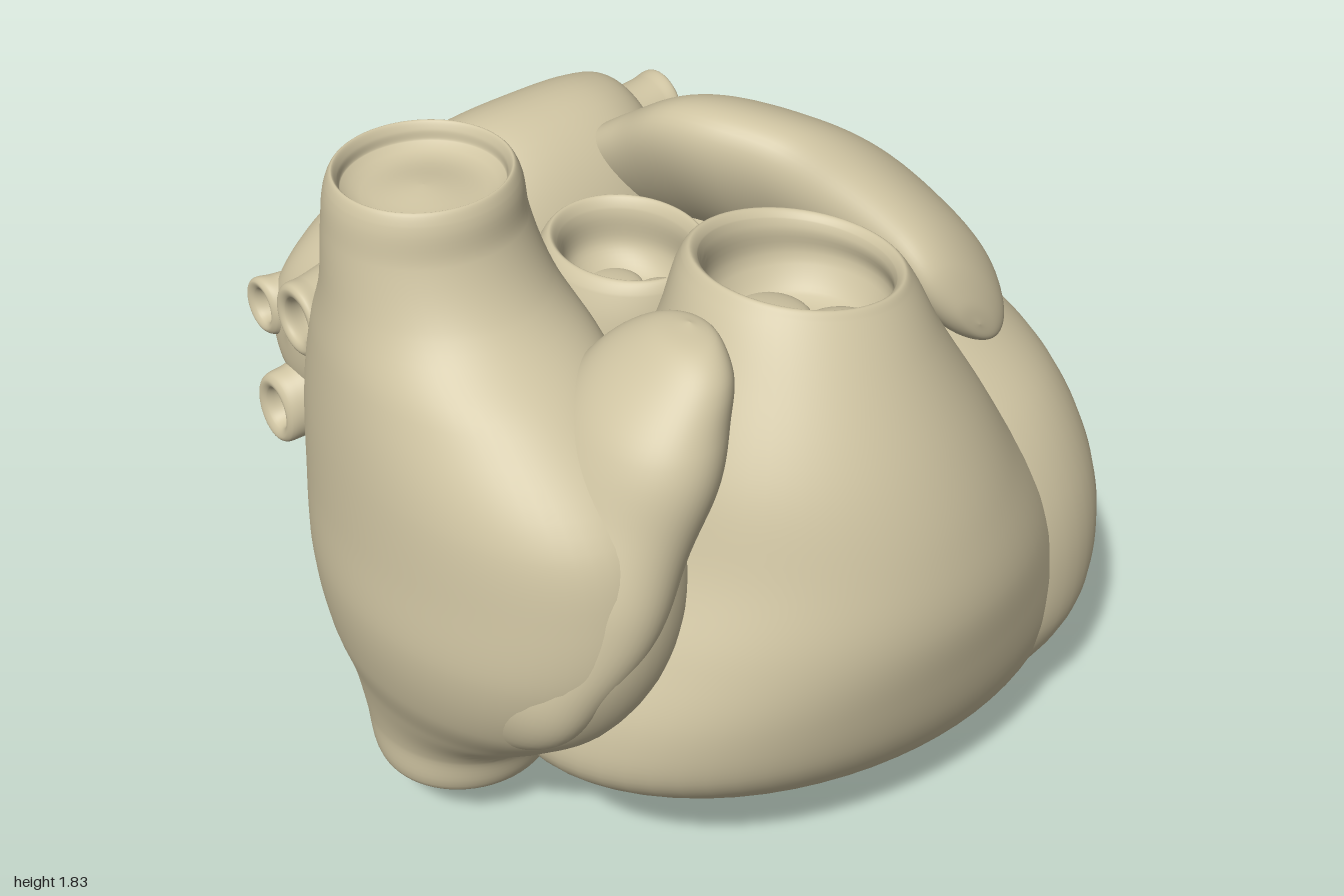
import * as THREE from 'three';

const material = new THREE.MeshStandardMaterial({ color: 0xcfc4a2 });
const SIDES = 64;
const STEPS = 7;

// Horizontal ring from its x and z extents: [x, y, z, radiusU, radiusV, tilt]
const span = (y, x0, x1, z0, z1, tilt = 0) =>
  [(x0 + x1) / 2, y, (z0 + z1) / 2, (x1 - x0) / 2, (z1 - z0) / 2, tilt];

// Smooth skin over elliptical rings; u and v are the ring's two axes
function loft(name, rings, { u = [1, 0, 0], v = [0, 0, 1], ripple = () => 0 } = {}) {
  const U = new THREE.Vector3(...u), V = new THREE.Vector3(...v);
  const rows = rings.map(r => [...r, 0].slice(0, 6));
  const last = rows[rows.length - 1];
  const times = [0];
  for (let i = 1; i < rows.length; i++) {
    times.push(times[i - 1] + Math.hypot(...rows[i].map((n, k) => n - rows[i - 1][k])));
  }
  const curve = new THREE.CubicInterpolant(times, rows.flat(), 6, new Float64Array(6));
  const positions = [], index = [];
  const total = (rows.length - 1) * STEPS;
  for (let i = 0; i <= total; i++) {
    const k = Math.min(Math.floor(i / STEPS), rows.length - 2);
    const t = THREE.MathUtils.lerp(times[k], times[k + 1], (i - k * STEPS) / STEPS);
    const [x, y, z, a, b, tilt] = i === total ? last : curve.evaluate(t);
    for (let j = 0; j < SIDES; j++) {
      const th = j / SIDES * Math.PI * 2;
      const s = 1 + ripple(th, i / total);
      const c = Math.max(a, 0) * Math.cos(th) * s, d = Math.max(b, 0) * Math.sin(th) * s;
      positions.push(x + U.x * c + V.x * d, y + U.y * c + V.y * d + tilt * c, z + U.z * c + V.z * d);
    }
  }
  // Wind faces outward whichever way the rings run
  const run = new THREE.Vector3(...last).sub(new THREE.Vector3(...rows[0]));
  const flip = U.clone().cross(V).dot(run) < 0;
  for (let i = 0; i < total; i++) {
    for (let j = 0; j < SIDES; j++) {
      const a = i * SIDES + j, b = i * SIDES + (j + 1) % SIDES, c = a + SIDES, d = b + SIDES;
      if (flip) index.push(a, c, b, b, c, d);
      else index.push(a, b, c, b, d, c);
    }
  }
  const geometry = new THREE.BufferGeometry();
  geometry.setAttribute('position', new THREE.Float32BufferAttribute(positions, 3));
  geometry.setIndex(index);
  geometry.computeVertexNormals();
  const mesh = new THREE.Mesh(geometry, material);
  mesh.name = name;
  return mesh;
}

// Short open vessel stub running along x, flowing out of the wall, with a hollow mouth
function vein(name, [bx, by, bz], [tx, ty, tz], a, b) {
  const at = (f, s) => [bx + (tx - bx) * f, by + (ty - by) * f, bz + (tz - bz) * f, a * s, b * s];
  return loft(name, [at(0, 1.7), at(0.3, 1.5), at(0.6, 1.2), at(0.85, 1.02), at(0.97, 0.97), at(1, 0.82),
    at(0.97, 0.6), at(0.8, 0.52), at(0.75, 0)], { u: [0, 1, 0] });
}

// Three low rounded leaflets on the floor of a vessel
function valve(name, x, y, z, r) {
  const group = new THREE.Group();
  group.name = name;
  for (let i = 0; i < 3; i++) {
    const a = i / 3 * Math.PI * 2 + 0.5;
    const leaf = new THREE.Mesh(new THREE.SphereGeometry(r * 0.58, 24, 16), material);
    leaf.name = 'leaflet';
    leaf.scale.y = 0.3;
    leaf.position.set(x + Math.cos(a) * r * 0.55, y, z + Math.sin(a) * r * 0.55);
    group.add(leaf);
  }
  return group;
}

export function createModel() {
  const heart = new THREE.Group();
  heart.name = 'heart';

  // Left ventricle: a leaning egg
  heart.add(loft('leftVentricle', [
    [0.52, 0, 0.08, 0, 0], [0.5, 0.01, 0.08, 0.13, 0.18],
    [0.46, 0.045, 0.09, 0.25, 0.35], [0.4, 0.2, 0.07, 0.46, 0.57],
    [0.4, 0.4, 0.045, 0.55, 0.705], [0.41, 0.6, 0.03, 0.565, 0.73],
    [0.41, 0.8, 0.02, 0.54, 0.7], [0.4, 1, 0, 0.48, 0.62],
    [0.38, 1.15, -0.03, 0.405, 0.5], [0.37, 1.27, -0.07, 0.29, 0.37],
    [0.36, 1.34, -0.09, 0.15, 0.2], [0.36, 1.36, -0.09, 0, 0],
  ], { v: [0.22, 0, 1] }));

  // Right ventricle rising into the open pulmonary trunk
  heart.add(loft('rightVentricle', [
    span(0.025, 0.33, 0.33, 0.24, 0.24), span(0.035, 0.12, 0.58, 0.1, 0.4),
    span(0.1, -0.1, 0.76, 0, 0.56), span(0.2, -0.35, 0.88, -0.1, 0.7),
    span(0.32, -0.59, 0.93, -0.18, 0.79), span(0.45, -0.73, 0.92, -0.24, 0.85),
    span(0.6, -0.72, 0.85, -0.25, 0.89), span(0.8, -0.62, 0.73, -0.25, 0.92),
    span(1, -0.5, 0.59, -0.14, 0.89), span(1.2, -0.41, 0.48, 0, 0.82, -0.06),
    span(1.4, -0.29, 0.38, 0.05, 0.71, -0.12), span(1.53, -0.21, 0.33, 0.07, 0.62, -0.15),
    span(1.55, -0.19, 0.31, 0.09, 0.6, -0.15), span(1.53, -0.17, 0.29, 0.11, 0.58, -0.15),
    span(1.4, -0.17, 0.29, 0.12, 0.58), span(1.33, -0.12, 0.24, 0.17, 0.53),
    span(1.31, 0.06, 0.06, 0.35, 0.35),
  ]));
  heart.add(valve('pulmonaryValve', 0.06, 1.32, 0.35, 0.2));

  // Aortic root, open at the top and set lower than the pulmonary trunk
  heart.add(loft('aorta', [
    span(0.85, -0.38, 0.18, -0.33, 0.23), span(1.2, -0.37, 0.13, -0.33, 0.17),
    span(1.44, -0.32, 0.08, -0.3, 0.15), span(1.47, -0.29, 0.06, -0.28, 0.13),
    span(1.44, -0.27, 0.04, -0.26, 0.11), span(1.34, -0.25, 0.04, -0.25, 0.09),
    span(1.28, -0.2, 0, -0.18, 0.03), span(1.27, -0.1, -0.1, -0.08, -0.08),
  ]));
  heart.add(valve('aorticValve', -0.1, 1.28, -0.08, 0.14));

  // Right atrium with the two great veins, hollow at both mouths
  heart.add(loft('rightAtriumAndVenaCavae', [
    [-0.645, 0.215, -0.09, 0, 0], [-0.645, 0.21, -0.09, 0.185, 0.185],
    [-0.645, 0.18, -0.09, 0.195, 0.19], [-0.645, 0.165, -0.09, 0.21, 0.2],
    [-0.645, 0.19, -0.09, 0.23, 0.22], [-0.635, 0.3, -0.09, 0.25, 0.27],
    [-0.62, 0.45, -0.03, 0.3, 0.4], [-0.64, 0.6, 0.02, 0.33, 0.5],
    [-0.63, 0.8, 0.05, 0.37, 0.57], [-0.62, 1, 0.05, 0.365, 0.59],
    [-0.63, 1.2, 0.03, 0.335, 0.56], [-0.625, 1.4, -0.05, 0.305, 0.43],
    [-0.63, 1.55, -0.12, 0.265, 0.29], [-0.635, 1.7, -0.15, 0.24, 0.235],
    [-0.635, 1.8, -0.15, 0.225, 0.22], [-0.635, 1.83, -0.15, 0.208, 0.203],
    [-0.635, 1.81, -0.15, 0.195, 0.19], [-0.635, 1.785, -0.15, 0.19, 0.185],
    [-0.635, 1.78, -0.15, 0, 0],
  ]));

  // Right atrial appendage: a slanting, lightly ridged lobe
  heart.add(loft('rightAtrialAppendage', [
    [-0.34, 1.59, 0.44, 0, 0], [-0.36, 1.57, 0.44, 0.07, 0.1],
    [-0.4, 1.5, 0.43, 0.125, 0.18], [-0.46, 1.38, 0.41, 0.18, 0.24],
    [-0.54, 1.2, 0.38, 0.2, 0.28], [-0.62, 1, 0.36, 0.2, 0.29],
    [-0.71, 0.8, 0.32, 0.18, 0.29], [-0.76, 0.62, 0.26, 0.13, 0.24],
    [-0.76, 0.5, 0.2, 0.07, 0.14], [-0.75, 0.46, 0.2, 0, 0],
  ], { ripple: (th, t) => 0.03 * Math.sin(t * 30 + th * 2) * Math.sin(Math.PI * t) }));

  // Left atrium: a rounded sack lying across the back
  heart.add(loft('leftAtrium', [
    [-0.69, 1.08, -0.74, 0, 0], [-0.67, 1.08, -0.74, 0.14, 0.09],
    [-0.6, 1.08, -0.7, 0.26, 0.18], [-0.45, 1.08, -0.65, 0.4, 0.26],
    [-0.2, 1.08, -0.6, 0.5, 0.31], [0, 1.08, -0.59, 0.515, 0.32],
    [0.16, 1.1, -0.6, 0.48, 0.31], [0.27, 1.14, -0.63, 0.39, 0.27],
    [0.33, 1.16, -0.65, 0.25, 0.18], [0.35, 1.16, -0.65, 0, 0],
  ], { u: [0, 1, 0.05] }));

  // Lung veins, two on the left and three on the right
  heart.add(vein('upperLeftPulmonaryVein', [0.1, 1.3, -0.58], [0.42, 1.4, -0.61], 0.11, 0.1));
  heart.add(vein('lowerLeftPulmonaryVein', [0.1, 1.02, -0.66], [0.42, 0.95, -0.82], 0.14, 0.08));
  heart.add(vein('upperRightPulmonaryVein', [-0.42, 1.2, -0.6], [-0.76, 1.24, -0.57], 0.1, 0.09));
  heart.add(vein('middleRightPulmonaryVein', [-0.4, 1.12, -0.7], [-0.7, 1.12, -0.84], 0.08, 0.07));
  heart.add(vein('lowerRightPulmonaryVein', [-0.4, 0.95, -0.66], [-0.73, 0.85, -0.77], 0.1, 0.08));

  // Left atrial appendage draped over the left ventricle
  heart.add(loft('leftAtrialAppendage', [
    [0.12, 1.38, -0.52, 0.12, 0.08], [0.24, 1.41, -0.36, 0.24, 0.13],
    [0.34, 1.42, -0.2, 0.36, 0.16], [0.4, 1.42, -0.05, 0.39, 0.17],
    [0.46, 1.41, 0.08, 0.365, 0.16], [0.51, 1.37, 0.2, 0.31, 0.14],
    [0.54, 1.32, 0.34, 0.24, 0.11], [0.54, 1.27, 0.43, 0.18, 0.08],
    [0.54, 1.24, 0.47, 0.1, 0.04], [0.54, 1.23, 0.48, 0, 0],
  ], {
    u: [0.7, -0.7, 0], v: [0.7, 0.7, 0],
    ripple: (th, t) => 0.04 * Math.sin(t * 22) * Math.cos(th) * t,
  }));

  return heart;
}
